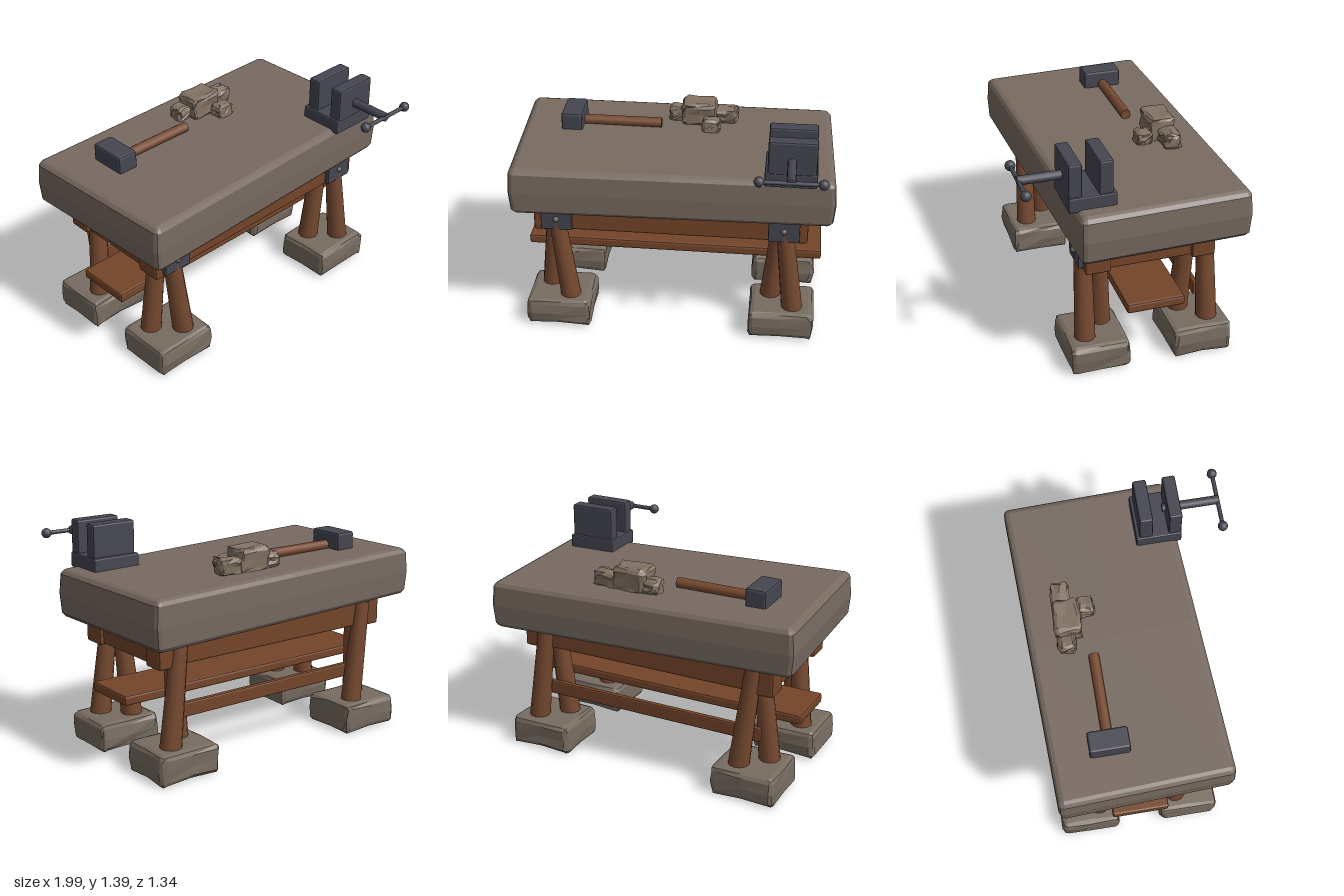
import * as THREE from 'three';

const mat = (name, color) => {
  const m = new THREE.MeshStandardMaterial({ color });
  m.name = name;
  return m;
};

export function createModel() {
  const model = new THREE.Group();
  model.name = 'workbench';
  const slabStone = mat('slab stone', 0x776a61);
  const footStone = mat('foot stone', 0x776c61);
  const rubble = mat('rubble', 0x827264);
  const wood = mat('wood', 0x744529);
  const logWood = mat('log wood', 0x764930);
  const iron = mat('iron', 0x454650);
  const boltMetal = mat('bolt metal', 0x6b625c);

  let seed = 7;
  const rand = () => (seed = (seed * 16807) % 2147483647) / 2147483647 - 0.5;

  const add = (name, geometry, material, x = 0, y = 0, z = 0, parent = model) => {
    const mesh = new THREE.Mesh(geometry, material);
    mesh.name = name;
    mesh.position.set(x, y, z);
    parent.add(mesh);
    return mesh;
  };

  // Box with bevelled edges and a middle row of points that a warp rule can move
  const block = (w, h, d, r, warp) => {
    const geo = new THREE.BoxGeometry(2, 2, 2, 4, 4, 4);
    const p = geo.attributes.position;
    const half = new THREE.Vector3(w / 2, h / 2, d / 2);
    const t = new THREE.Vector3(), v = new THREE.Vector3(), dir = new THREE.Vector3();
    const moved = new Map();
    for (let i = 0; i < p.count; i++) {
      t.fromBufferAttribute(p, i);
      const key = [t.x, t.y, t.z].map(n => Math.round(n * 2)).join();
      if (!moved.has(key)) {
        for (const a of ['x', 'y', 'z']) {
          v[a] = Math.abs(t[a]) < 0.1 ? 0 : Math.sign(t[a]) * (half[a] - r);
          dir[a] = Math.abs(t[a]) > 0.9 ? Math.sign(t[a]) : 0;
        }
        v.addScaledVector(dir.normalize(), r);
        if (warp) warp(v, t);
        moved.set(key, v.clone());
      }
      const q = moved.get(key);
      p.setXYZ(i, q.x, q.y, q.z);
    }
    const flat = geo.toNonIndexed();
    flat.computeVertexNormals();
    return flat;
  };

  // Block placed by its extents
  const span = (name, material, [x0, x1], [y0, y1], [z0, z1], r = 0.012, warp, parent) =>
    add(name, block(x1 - x0, y1 - y0, z1 - z0, r, warp), material,
      (x0 + x1) / 2, (y0 + y1) / 2, (z0 + z1) / 2, parent);

  // Round bar between two points
  const rod = (name, material, a, b, ra, rb = ra, sides = 12, parent = model) => {
    const from = new THREE.Vector3(...a), to = new THREE.Vector3(...b);
    const axis = to.clone().sub(from);
    const mesh = add(name, new THREE.CylinderGeometry(rb, ra, axis.length(), sides), material, 0, 0, 0, parent);
    mesh.position.copy(from).add(to).multiplyScalar(0.5);
    mesh.quaternion.setFromUnitVectors(new THREE.Vector3(0, 1, 0), axis.normalize());
    return mesh;
  };

  // Stone top, skewed to an uneven four-sided outline and slightly tilted
  const mix = THREE.MathUtils.lerp;
  add('stoneTop', block(2, 0.3, 1, 0.03, (v, t) => {
    const inset = 1 - 0.02 * Math.abs(t.y);
    const u = (v.x * inset + 1) / 2, w = v.z * inset + 0.5;
    v.y -= 0.016 * v.x;
    v.x = mix(mix(-1, 0.965, u), mix(-0.955, 0.995, u), w);
    v.z = mix(mix(-0.605, -0.675, u), mix(0.445, 0.35, u), w);
  }), slabStone, 0, 0.99, 0);

  // Four corners: stone foot, beam block and a pair of leaning logs
  for (const sx of [-1, 1]) {
    for (const front of [true, false]) {
      const side = (front ? 'front' : 'back') + (sx > 0 ? 'Left' : 'Right');
      const corner = new THREE.Group();
      corner.name = side + 'Leg';
      model.add(corner);
      const x = sx * 0.7, zc = front ? 0.205 : -0.43;
      span(side + 'Foot', footStone, [x - 0.205, x + 0.205], [front ? 0.012 : 0.002, 0.2],
        [zc - 0.185, zc + 0.185], 0.03, (v, t) => {
          if (t.y < -0.4) v.y += 0.018 * (1 - Math.abs(t.x)) + 0.01 * (1 - Math.abs(t.z));
          const s = 1 - 0.025 * Math.abs(t.y);
          v.x = v.x * s + rand() * 0.012;
          v.z = v.z * s + rand() * 0.012;
        }, corner);
      const out = z => (front ? z : -0.225 - z);
      rod('outerLog', logWood, [x + 0.07, 0.17, out(0.272)], [x - 0.01, 0.83, out(0.262)], 0.066, 0.05, 12, corner);
      rod('innerLog', logWood, [x - 0.075, 0.17, out(0.135)], [x - 0.02, 0.83, out(0.165)], 0.066, 0.05, 12, corner);
      const bx = sx * 0.76;
      span('beamBlock', wood, [bx - 0.08, bx + 0.08], [0.667, 0.86],
        front ? [0.13, 0.287] : [-0.505, -0.36], 0.014, null, corner);
    }
  }

  // Frame beams under the top
  span('frontBeam', wood, [-0.8, 0.8], [0.675, 0.86], [0.16, 0.28]);
  span('backBeam', wood, [-0.8, 0.8], [0.675, 0.86], [-0.49, -0.38]);
  for (const s of [-1, 1]) {
    span('endBeam', wood, [s * 0.765 - 0.05, s * 0.765 + 0.05], [0.675, 0.86], [-0.42, 0.18]);
    // Iron corner plate with a bolt
    const px = s * 0.695;
    span('cornerPlate', iron, [px - 0.095, px + 0.095], [0.69, 0.86], [0.28, 0.315], 0.006);
    const bolt = add('bolt', new THREE.SphereGeometry(0.019, 10, 8), boltMetal, px, 0.765, 0.317);
    bolt.scale.z = 0.9;
  }

  // Shelf plank and rear stretcher
  span('shelf', wood, [-0.93, 0.935], [0.42, 0.482], [-0.29, 0.063], 0.014);
  span('stretcher', wood, [-0.74, 0.74], [0.335, 0.425], [-0.45, -0.415], 0.01);

  // Vise
  const vise = new THREE.Group();
  vise.name = 'vise';
  model.add(vise);
  span('viseBase', iron, [0.565, 0.873], [1.11, 1.205], [0.11, 0.39], 0.01, null, vise);
  span('frontJaw', iron, [0.58, 0.865], [1.19, 1.405], [0.31, 0.39], 0.012, null, vise);
  span('backJaw', iron, [0.58, 0.865], [1.19, 1.405], [0.13, 0.213], 0.012, null, vise);
  rod('viseScrew', iron, [0.72, 1.28, 0.29], [0.72, 1.28, 0.64], 0.027, 0.027, 12, vise);
  rod('viseHandle', iron, [0.54, 1.28, 0.633], [0.9, 1.28, 0.633], 0.013, 0.013, 10, vise);
  for (const x of [0.54, 0.9])
    add('handleKnob', new THREE.SphereGeometry(0.031, 12, 8), iron, x, 1.28, 0.633, vise);

  // Hammer
  const hammer = new THREE.Group();
  hammer.name = 'hammer';
  model.add(hammer);
  span('hammerHead', iron, [-0.727, -0.595], [1.14, 1.258], [-0.38, -0.14], 0.014, null, hammer);
  rod('hammerHandle', logWood, [-0.62, 1.168, -0.262], [-0.108, 1.168, -0.262], 0.032, 0.032, 10, hammer);

  // Pile of rough stones: x, y and z extents
  const pile = new THREE.Group();
  pile.name = 'stonePile';
  model.add(pile);
  for (const [x, y, z] of [
    [[0.015, 0.23], [1.13, 1.278], [-0.465, -0.305]],
    [[-0.07, 0.035], [1.13, 1.225], [-0.46, -0.355]],
    [[0.215, 0.365], [1.13, 1.228], [-0.46, -0.35]],
    [[0.145, 0.262], [1.12, 1.208], [-0.315, -0.215]],
  ]) {
    span('stone', rubble, x, y, z, 0.024, v => {
      v.x += rand() * 0.016;
      v.y += rand() * 0.014;
      v.z += rand() * 0.016;
    }, pile);
  }

  return model;
}
